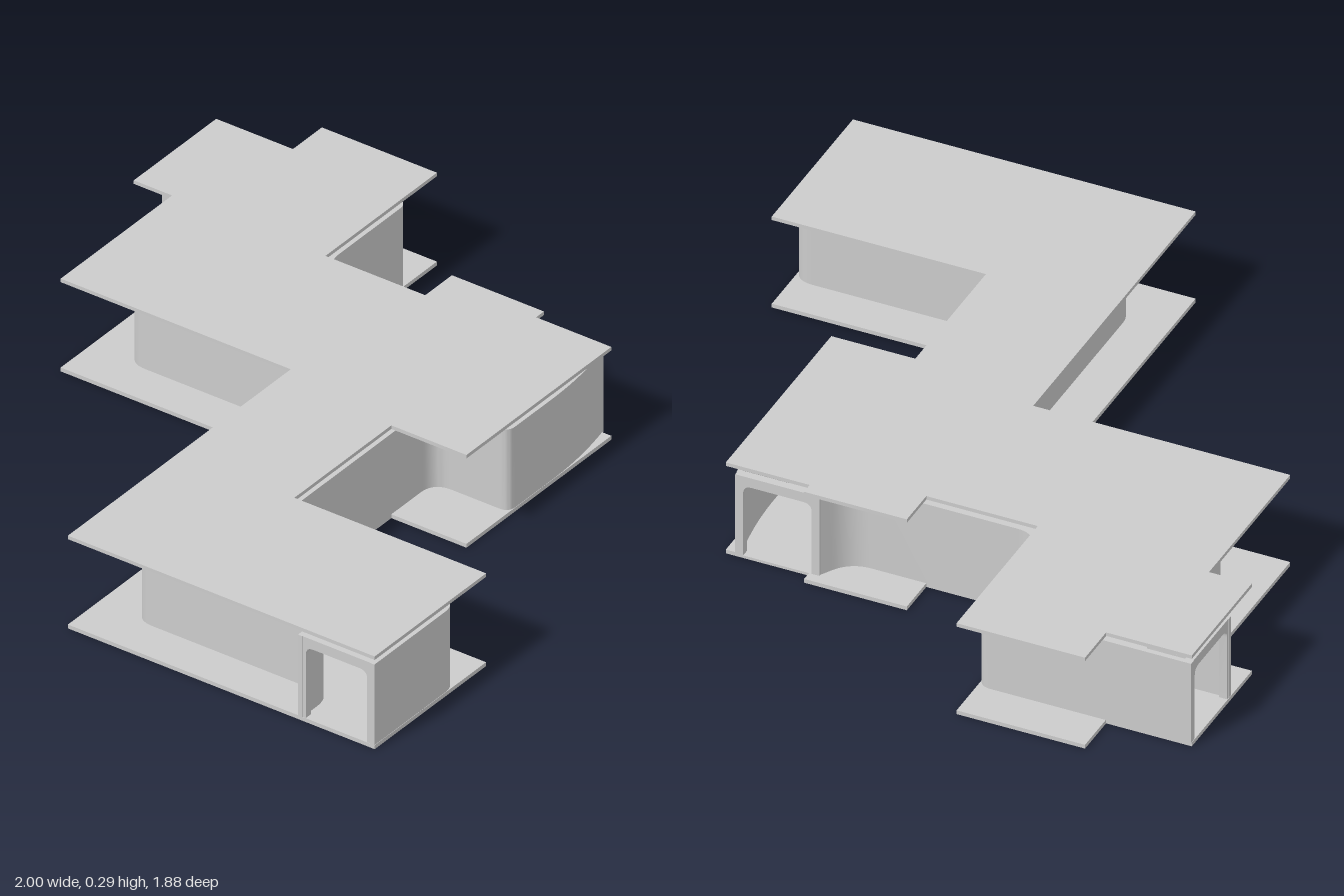
import * as THREE from 'three';
import { toCreasedNormals } from 'three/addons/utils/BufferGeometryUtils.js';

const grey = new THREE.MeshStandardMaterial({ color: 0xcccccc, side: THREE.DoubleSide });
const WALL_BASE = 0.01, WALL_TOP = 0.265, THICK = 0.015;
const vec = ([x, z]) => new THREE.Vector2(x, z);

// Extrude a plan outline (x, z) upwards from y
function extrudePlan(points, y, height, name) {
  const shape = new THREE.Shape(points.map(p => new THREE.Vector2(p.x, -p.y)));
  let geo = new THREE.ExtrudeGeometry(shape, { depth: height, bevelEnabled: false });
  geo.rotateX(-Math.PI / 2);
  geo.translate(0, y, 0);
  geo = toCreasedNormals(geo, 0.6);
  const mesh = new THREE.Mesh(geo, grey);
  mesh.name = name;
  return mesh;
}

// Path with rounded corners; each point is [x, z, radius]
function roundPath(path) {
  const out = [];
  path.forEach((p, i) => {
    const c = vec(p), r = p[2] || 0;
    if (!r) { out.push(c); return; }
    const a = vec(path[i - 1]).sub(c).setLength(r).add(c);
    const b = vec(path[i + 1]).sub(c).setLength(r).add(c);
    out.push(...new THREE.QuadraticBezierCurve(a, c, b).getPoints(10));
  });
  return out;
}

// Thin wall whose outer face follows the path, with thickness on the inner side
function wall(path, name) {
  const pts = roundPath(path);
  const inner = pts.map((p, i) => {
    const a = pts[Math.max(i - 1, 0)], b = pts[Math.min(i + 1, pts.length - 1)];
    const d = b.clone().sub(a).normalize();
    return new THREE.Vector2(p.x + d.y * THICK, p.y - d.x * THICK);
  });
  return extrudePlan([...pts, ...inner.reverse()], WALL_BASE, WALL_TOP - WALL_BASE, name);
}

// Doorway surround with a round-cornered opening, centred on its width
function doorFrame(width, depth, name) {
  const w = width / 2, o = w - 0.023, top = 0.235 - WALL_BASE, r = 0.025;
  const h = WALL_TOP - WALL_BASE;
  const shape = new THREE.Shape([[-w, 0], [w, 0], [w, h], [-w, h]].map(vec));
  const hole = new THREE.Path();
  hole.moveTo(-o, 0.002);
  hole.lineTo(-o, top - r);
  hole.quadraticCurveTo(-o, top, -o + r, top);
  hole.lineTo(o - r, top);
  hole.quadraticCurveTo(o, top, o, top - r);
  hole.lineTo(o, 0.002);
  hole.closePath();
  shape.holes.push(hole);
  const geo = new THREE.ExtrudeGeometry(shape, { depth, bevelEnabled: false, curveSegments: 6 });
  geo.translate(0, WALL_BASE, -depth / 2);
  const mesh = new THREE.Mesh(toCreasedNormals(geo, 0.6), grey);
  mesh.name = name;
  return mesh;
}

export function createModel() {
  const group = new THREE.Group();
  group.name = 'corridorSection';

  // Floor and ceiling share one stepped outline
  const outline = [
    [-1, -0.065], [0, -0.065], [0, -0.815], [0.5, -0.815], [0.5, -0.94],
    [0.87, -0.94], [0.87, -0.69], [1, -0.69], [1, -0.315], [0.5, -0.315],
    [0.5, 0.01], [0.62, 0.01], [0.62, 0.31], [0.585, 0.31], [0.585, 0.555],
    [-0.065, 0.555], [-0.065, 0.31], [-0.5, 0.31], [-0.5, 0.935], [-1, 0.935],
  ].map(vec);
  group.add(extrudePlan(outline, 0, 0.012, 'floor'));
  group.add(extrudePlan(outline, 0.28, 0.011, 'ceiling'));

  // Walls between the three doorways
  const r = 0.06;
  group.add(wall([
    [-1, 0.934], [-0.625, 0.934, r], [-0.625, 0.31, r], [0.125, 0.31, r],
    [0.125, 0.554, 0.03], [0.44, 0.554, 0.12], [0.585, 0.525],
  ], 'frontWall'));
  group.add(wall([
    [0.585, 0.28], [0.5, 0.23, 0.06], [0.5, -0.315, r], [0.872, -0.315, 0.04], [0.872, -0.939],
  ], 'sideWall'));
  group.add(wall([
    [0.625, -0.939], [0.625, -0.69, r], [0.125, -0.69, r], [0.125, 0.06, r],
    [-0.875, 0.06, r], [-0.875, 0.685, r], [-1, 0.685],
  ], 'backWall'));

  // Doorways at the open ends
  const doors = [
    ['rightDoorFrame', -0.987, 0.81, Math.PI / 2],
    ['leftDoorFrame', 0.578, 0.402, Math.PI / 2],
    ['backDoorFrame', 0.748, -0.926, 0],
  ];
  for (const [name, x, z, turn] of doors) {
    const frame = doorFrame(0.246, 0.024, name);
    frame.position.set(x, 0, z);
    frame.rotation.y = turn;
    group.add(frame);
  }
  return group;
}
